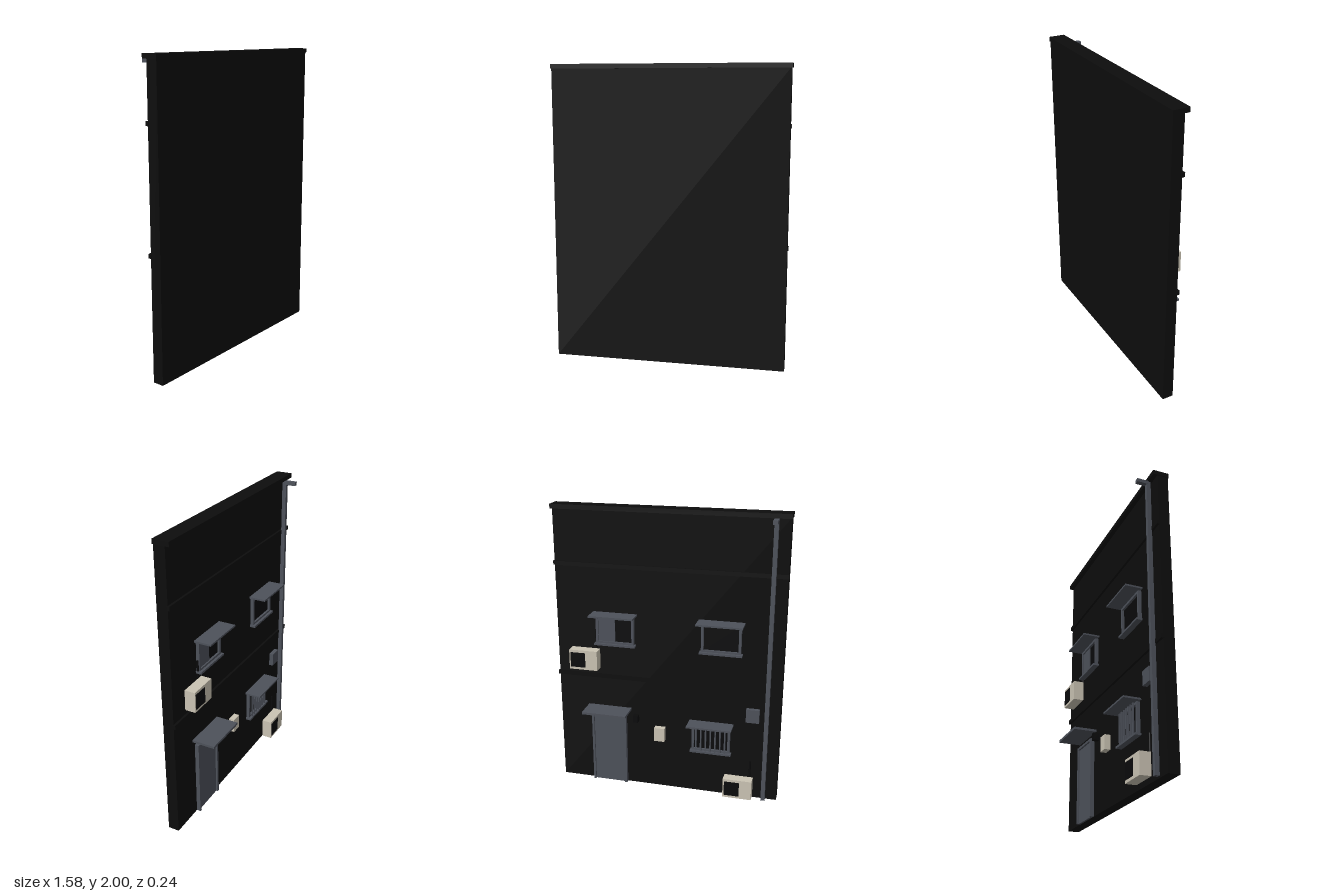
import * as THREE from 'three';

const mat = (name, color) => {
  const m = new THREE.MeshStandardMaterial({ color });
  m.name = name;
  return m;
};

export function createModel() {
  const root = new THREE.Group();
  root.name = 'buildingFacade';
  const black = mat('blackWall', 0x0d0d0d);
  const dark = mat('darkGlass', 0x0a0a0b);
  const grey = mat('slateGrey', 0x4d515a);
  const beige = mat('beigeMetal', 0xcac3b3);

  // Box given by its minimum and maximum on each axis
  const box = (parent, name, m, x0, x1, y0, y1, z0, z1) => {
    const mesh = new THREE.Mesh(new THREE.BoxGeometry(x1 - x0, y1 - y0, z1 - z0), m);
    mesh.position.set((x0 + x1) / 2, (y0 + y1) / 2, (z0 + z1) / 2);
    mesh.name = name;
    parent.add(mesh);
    return mesh;
  };
  const group = (name) => {
    const g = new THREE.Group();
    g.name = name;
    root.add(g);
    return g;
  };
  const WALL = 0.04; // detailed face of the wall, looking along -z

  // Rectangular border made from three or four bars
  const frame = (g, x0, x1, y0, y1, t, z0, z1, bottom = true) => {
    box(g, 'frameSide', grey, x0, x0 + t, y0, y1, z0, z1);
    box(g, 'frameSide', grey, x1 - t, x1, y0, y1, z0, z1);
    box(g, 'frameTop', grey, x0 + t, x1 - t, y1 - t, y1, z0, z1);
    if (bottom) box(g, 'frameBottom', grey, x0 + t, x1 - t, y0, y0 + t, z0, z1);
  };

  // Wall, parapet cap and floor bands
  box(root, 'wall', black, -0.785, 0.785, 0, 1.975, WALL, 0.115);
  box(root, 'parapetCap', black, -0.79, 0.79, 1.97, 2, 0.01, 0.12);
  for (const y of [0.815, 1.605]) box(root, 'floorBand', black, -0.79, 0.79, y - 0.014, y + 0.014, 0.025, 0.045);

  // Windows with sill and awning
  const makeWindow = (cx, y, { bars = 0, shutter = false } = {}) => {
    const g = group('window');
    const x0 = cx - 0.135, x1 = cx + 0.135;
    box(g, 'glass', dark, x0 + 0.01, x1 - 0.01, y + 0.01, y + 0.2, WALL - 0.008, WALL);
    frame(g, x0, x1, y, y + 0.205, 0.017, 0.017, WALL);
    box(g, 'sill', grey, x0 - 0.01, x1 + 0.01, y - 0.01, y + 0.004, 0, WALL);
    box(g, 'awning', grey, cx - 0.155, cx + 0.155, y + 0.209, y + 0.221, -0.078, WALL);
    if (shutter) box(g, 'slidingPanel', grey, cx, x1 - 0.015, y + 0.015, y + 0.19, 0.026, 0.034);
    for (let i = 0; i < bars; i++) {
      const x = x0 + 0.27 * (i + 1) / (bars + 1);
      box(g, 'securityBar', grey, x - 0.005, x + 0.005, y + 0.005, y + 0.205, 0.004, 0.014);
    }
  };
  makeWindow(0.365, 1.06, { shutter: true });
  makeWindow(-0.37, 1.06);
  makeWindow(-0.315, 0.326, { bars: 7 });

  // Door with frame and canopy
  const door = group('door');
  box(door, 'doorPanel', grey, 0.31, 0.535, 0, 0.52, 0.025, WALL);
  frame(door, 0.295, 0.55, 0, 0.535, 0.016, 0.012, WALL, false);
  box(door, 'doorCanopy', grey, 0.26, 0.575, 0.572, 0.588, -0.118, WALL);

  // Air conditioners with fan grille and riser pipe
  const makeCooler = (cx, y) => {
    const g = group('airConditioner');
    box(g, 'coolerCase', beige, cx - 0.1, cx + 0.1, y, y + 0.14, -0.05, 0.022);
    box(g, 'coolerGrille', dark, cx - 0.015, cx + 0.09, y + 0.018, y + 0.122, -0.054, -0.049);
    box(g, 'coolerBracket', dark, cx - 0.07, cx + 0.07, y + 0.02, y + 0.1, 0.02, WALL);
    const pipe = new THREE.Mesh(new THREE.CylinderGeometry(0.007, 0.007, 0.16, 8), dark);
    pipe.name = 'coolerPipe';
    pipe.position.set(cx - 0.075, y + 0.18, 0.03);
    g.add(pipe);
  };
  makeCooler(0.575, 0.88);
  makeCooler(-0.52, 0.025);

  // Wall boxes and door lamp
  box(root, 'mailbox', beige, 0.012, 0.086, 0.37, 0.47, 0, WALL);
  box(root, 'meterBox', grey, -0.645, -0.555, 0.585, 0.68, 0.01, WALL);
  box(root, 'doorLamp', dark, 0.205, 0.24, 0.495, 0.545, 0, WALL);

  // Drainpipe with top outlet
  const drain = group('drainpipe');
  box(drain, 'downpipe', grey, -0.71, -0.682, 0.005, 1.965, 0, 0.028);
  box(drain, 'pipeOutlet', grey, -0.711, -0.681, 1.945, 1.97, -0.066, 0.012);

  return root;
}
